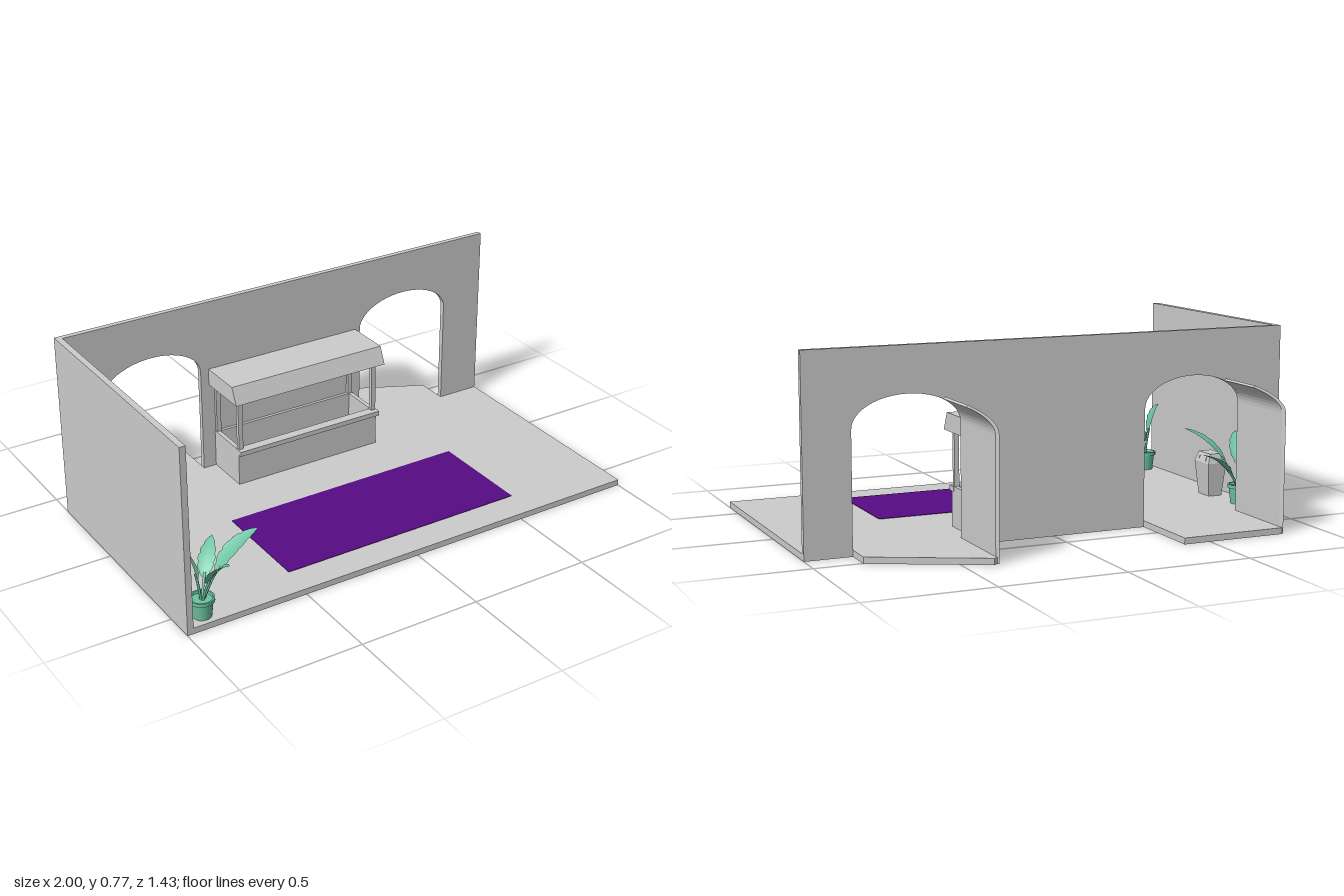
import * as THREE from 'three';

const grey = new THREE.MeshStandardMaterial({ color: 0xcccccc, flatShading: true });
const purple = new THREE.MeshStandardMaterial({ color: 0x560b82 });
const green = new THREE.MeshStandardMaterial({ color: 0x6cc3a2 });
const leafGreen = new THREE.MeshStandardMaterial({ color: 0x6cc3a2, side: THREE.DoubleSide });

const ARCHES = [{ x: -0.605, half: 0.215 }, { x: 0.595, half: 0.218 }];
const SPRING = 0.47, RISE = 0.12, FLOOR = 0.025, BACK = -0.39;

function add(parent, name, geometry, material = grey) {
  const mesh = new THREE.Mesh(geometry, material);
  mesh.name = name;
  parent.add(mesh);
  return mesh;
}

// Box given by its minimum and maximum on each axis
function box(parent, name, [x0, x1], [y0, y1], [z0, z1], material) {
  const g = new THREE.BoxGeometry(x1 - x0, y1 - y0, z1 - z0);
  g.translate((x0 + x1) / 2, (y0 + y1) / 2, (z0 + z1) / 2);
  return add(parent, name, g, material);
}

const polygon = pts => new THREE.Shape(pts.map(p => new THREE.Vector2(...p)));
const extrude = (shape, depth) => new THREE.ExtrudeGeometry(shape, { depth, bevelEnabled: false });

// Points on an arch curve between two angles, optionally grown outward
function archPoints({ x, half }, from, to, grow = 0, steps = 24) {
  return Array.from({ length: steps + 1 }, (_, i) => {
    const a = from + (to - from) * i / steps;
    return [x + (half + grow) * Math.cos(a), SPRING + (RISE + grow) * Math.sin(a)];
  });
}

function buildRoom(group) {
  // Floor with a landing behind each arch
  const plan = [[-1, 0.625], [1, 0.625], [1, BACK], [0.813, BACK], [0.813, -0.505], [0.39, -0.715],
    [0.367, -0.695], [0.367, BACK], [-0.39, BACK], [-0.39, -0.715], [-0.82, -0.715], [-0.82, BACK], [-1, BACK]];
  const floor = extrude(polygon(plan.map(([x, z]) => [x, -z])), FLOOR);
  add(group, 'floor', floor.rotateX(-Math.PI / 2));

  box(group, 'sideWall', [-1, -0.975], [0, 0.77], [BACK, 0.625]);

  // Back wall outline dips up into both arches
  const outline = [[-1, 0]];
  for (const arch of ARCHES) {
    outline.push([arch.x - arch.half, 0], ...archPoints(arch, Math.PI, 0), [arch.x + arch.half, 0]);
  }
  outline.push([1, 0], [1, 0.77], [-1, 0.77]);
  add(group, 'backWall', extrude(polygon(outline), 0.022).translate(0, 0, BACK));

  // Curved passage wall behind each arch, cut diagonally at its far end
  for (const arch of ARCHES) {
    const left = arch.x - arch.half, end = Math.PI - Math.acos(0.65);
    const section = [[left, 0], ...archPoints(arch, Math.PI, end, 0, 8),
      ...archPoints(arch, end, Math.PI, 0.01, 8), [left - 0.01, 0]];
    const g = extrude(polygon(section), 1);
    const p = g.attributes.position;
    for (let i = 0; i < p.count; i++) {
      const far = -0.695 + 1.2 * (p.getX(i) - left);
      p.setZ(i, p.getZ(i) > 0.5 ? BACK : far);
    }
    g.computeVertexNormals();
    add(group, 'passageWall', g);
  }
  box(group, 'rug', [-0.5, 0.55], [FLOOR, 0.027], [0.06, 0.495], purple);
}

function buildBooth() {
  const booth = new THREE.Group();
  booth.name = 'booth';
  // Hollow base
  box(booth, 'baseFront', [-0.333, 0.333], [0, 0.17], [-0.19, -0.172]);
  box(booth, 'baseBack', [-0.333, 0.333], [0, 0.185], [-0.37, -0.355]);
  box(booth, 'counter', [-0.335, 0.335], [0.165, 0.185], [-0.192, -0.15]);
  for (const s of [-1, 1]) {
    const side = (a, b) => [Math.min(s * a, s * b), Math.max(s * a, s * b)];
    box(booth, 'baseSide', side(0.315, 0.333), [0, 0.185], [-0.36, -0.18]);
    box(booth, 'frontPost', side(0.31, 0.33), [0.18, 0.41], [-0.19, -0.173]);
    box(booth, 'backPost', side(0.31, 0.33), [0.18, 0.41], [-0.37, -0.355]);
  }
  // Roof with a sloping front
  const roof = extrude(polygon([[-0.37, 0.403], [-0.143, 0.403], [-0.175, 0.474], [-0.37, 0.474]]), 0.708);
  add(booth, 'roof', roof.rotateY(-Math.PI / 2).translate(0.354, 0, 0));
  return booth;
}

// Box whose top is resized to make a tapered block
function taperedBlock([bx, bz], [tx, tz], y0, y1) {
  const g = new THREE.BoxGeometry(bx, y1 - y0, bz).translate(0, (y0 + y1) / 2, 0);
  const p = g.attributes.position;
  for (let i = 0; i < p.count; i++) {
    if (p.getY(i) > (y0 + y1) / 2) p.setXYZ(i, p.getX(i) * tx / bx, y1, p.getZ(i) * tz / bz);
  }
  g.computeVertexNormals();
  return g;
}

function buildBin() {
  const bin = new THREE.Group();
  bin.name = 'bin';
  add(bin, 'binBody', taperedBlock([0.06, 0.085], [0.086, 0.115], FLOOR, 0.165));
  add(bin, 'binLid', taperedBlock([0.086, 0.115], [0.058, 0.092], 0.165, 0.205));
  // Slot frame lying on the sloping lid face
  const frame = polygon([[-0.031, -0.011], [0.031, -0.011], [0.028, 0.011], [-0.028, 0.011]]);
  frame.holes.push(polygon([[-0.026, -0.007], [-0.024, 0.007], [0.024, 0.007], [0.026, -0.007]]));
  const slot = add(bin, 'binSlot', extrude(frame, 0.003));
  slot.rotation.set(0, Math.PI / 2, 0);
  slot.rotateX(-Math.atan2(0.014, 0.04));
  slot.position.set(0.0365, 0.183, 0);
  bin.position.set(-0.892, 0, -0.045);
  return bin;
}

// Folded blade swept along a curve, with lightly notched edges
function leafGeometry(curve, width) {
  const rows = 20, pos = [], index = [];
  for (let i = 0; i <= rows; i++) {
    const t = i / rows, c = curve.getPoint(0.3 + 0.7 * t), tan = curve.getTangent(0.3 + 0.7 * t);
    const side = new THREE.Vector3(-tan.z, 0, tan.x).normalize();
    const up = side.clone().cross(tan).normalize();
    if (up.y < 0) up.negate();
    const notch = i % 4 === 3 ? 0.86 : 1;
    const w = width / 2 * Math.pow(Math.sin(Math.PI * Math.pow(t, 0.85)), 0.75) * notch || 0;
    for (const s of [-1, 0, 1]) {
      const v = c.clone().addScaledVector(side, s * w).addScaledVector(up, Math.abs(s) * w * 0.25);
      pos.push(v.x, v.y, v.z);
    }
    if (i < rows) {
      for (const k of [3 * i, 3 * i + 1]) index.push(k, k + 1, k + 3, k + 1, k + 4, k + 3);
    }
  }
  const g = new THREE.BufferGeometry();
  g.setAttribute('position', new THREE.Float32BufferAttribute(pos, 3));
  g.setIndex(index);
  g.computeVertexNormals();
  return g;
}

function buildPlant(z, turn) {
  const plant = new THREE.Group();
  plant.name = 'plant';
  const profile = [[0, 0.025], [0.036, 0.025], [0.043, 0.09], [0.049, 0.09], [0.049, 0.105],
    [0.042, 0.105], [0.04, 0.095], [0, 0.095]].map(p => new THREE.Vector2(...p));
  add(plant, 'pot', new THREE.LatheGeometry(profile, 24), new THREE.MeshStandardMaterial({
    color: green.color, flatShading: true }));
  // Leaf tips and blade widths
  const leaves = [[0.235, 0.325, 0.01, 0.08], [0.13, 0.245, -0.15, 0.065],
    [0.04, 0.3, 0.145, 0.07], [-0.06, 0.32, -0.012, 0.08]];
  for (const [x, y, zTip, width] of leaves) {
    const curve = new THREE.QuadraticBezierCurve3(
      new THREE.Vector3(x * 0.04, 0.09, zTip * 0.04),
      new THREE.Vector3(x * 0.32, y * 0.82, zTip * 0.32),
      new THREE.Vector3(x, y, zTip));
    const stem = new THREE.QuadraticBezierCurve3(curve.v0, curve.v0.clone().lerp(curve.v1, 0.4), curve.getPoint(0.4));
    add(plant, 'stem', new THREE.TubeGeometry(stem, 8, 0.005, 6), green);
    add(plant, 'leaf', leafGeometry(curve, width), leafGreen);
  }
  plant.position.set(-0.91, 0, z);
  plant.rotation.y = turn;
  return plant;
}

export function createModel() {
  const group = new THREE.Group();
  group.name = 'entranceHall';
  buildRoom(group);
  group.add(buildBooth(), buildBin(), buildPlant(0.57, 0), buildPlant(-0.25, -0.68));
  // Centre the depth between the landings and the front leaf tips
  const bounds = new THREE.Box3().setFromObject(group);
  group.position.z = -(bounds.min.z + bounds.max.z) / 2;
  return group;
}
